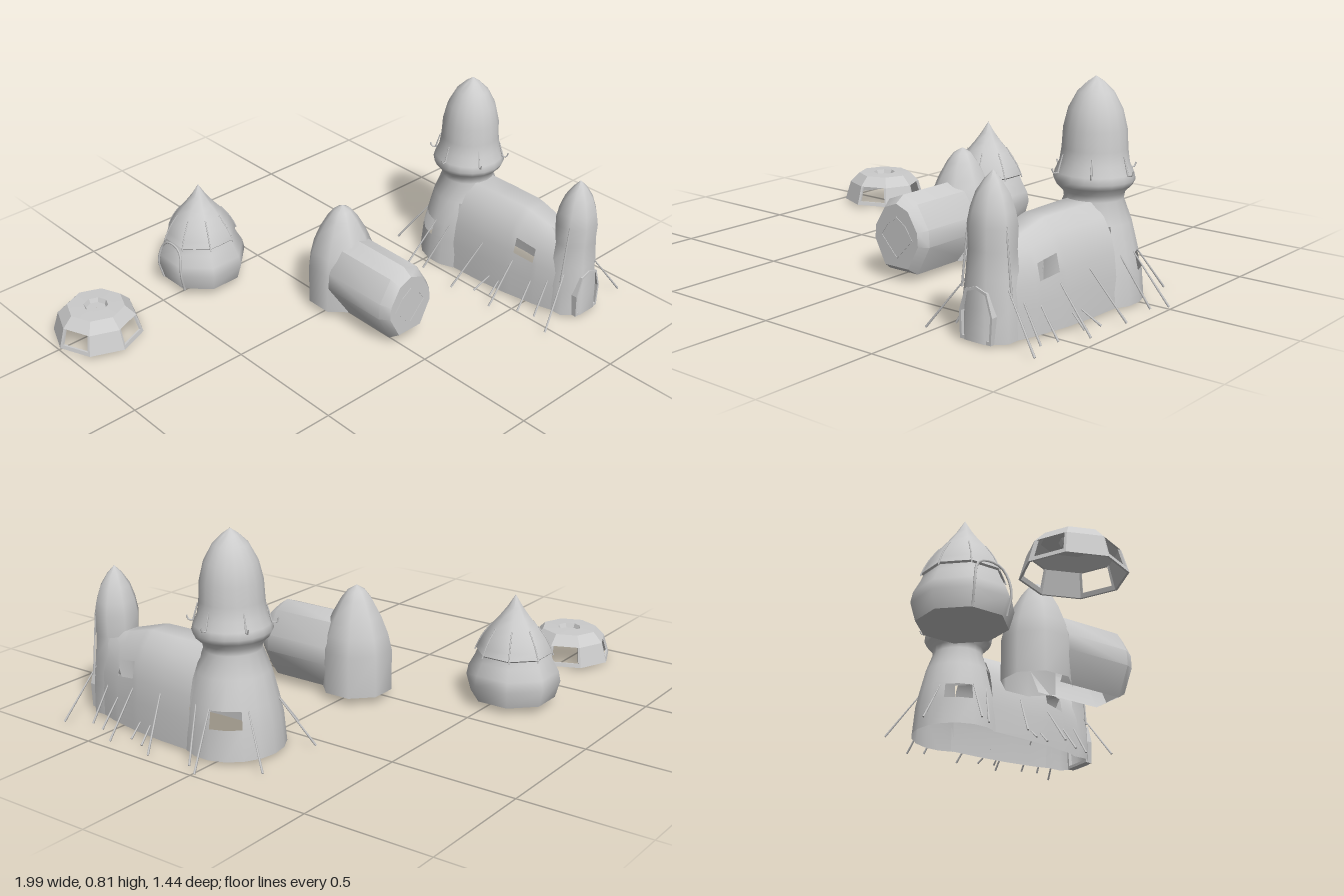
import * as THREE from 'three';
import { toCreasedNormals } from 'three/addons/utils/BufferGeometryUtils.js';

const mat = new THREE.MeshStandardMaterial({ color: 0xcccccc, side: THREE.DoubleSide });
const V = (x, y, z) => new THREE.Vector3(x, y, z);

function add(parent, name, geo, x = 0, y = 0, z = 0) {
  const m = new THREE.Mesh(geo, mat);
  m.name = name;
  m.position.set(x, y, z);
  parent.add(m);
  return m;
}

// Skin over matching rows of points; skip(row, column) leaves a cell open
function loft(rows, { skip = () => false, caps = false, crease = 0.9 } = {}) {
  const n = rows[0].length, idx = [];
  const pos = rows.flat().flatMap(p => [p.x, p.y, p.z]);
  for (let i = 0; i < rows.length - 1; i++)
    for (let j = 0; j < n; j++) {
      if (skip(i, j)) continue;
      const a = i * n + j, b = i * n + (j + 1) % n;
      idx.push(a, a + n, b, b, a + n, b + n);
    }
  if (caps) for (let j = 1; j < n - 1; j++) {
    const e = (rows.length - 1) * n;
    idx.push(0, j, j + 1, e, e + j + 1, e + j);
  }
  const g = new THREE.BufferGeometry();
  g.setAttribute('position', new THREE.Float32BufferAttribute(pos, 3));
  g.setIndex(idx);
  return toCreasedNormals(g, crease);
}

// Turned form from [radius, height] pairs, with a corner half a side off the x axis
function turned(profile, sides, options) {
  return loft(profile.map(([r, y]) => Array.from({ length: sides }, (_, j) => {
    const a = (j + 0.5) * Math.PI * 2 / sides;
    return V(Math.cos(a) * r, y, Math.sin(a) * r);
  })), options);
}

// Thin tapered pole between two points
function pole(parent, name, a, b, r = 0.0045) {
  const d = b.clone().sub(a);
  const m = add(parent, name, new THREE.CylinderGeometry(r * 0.6, r, d.length(), 5));
  m.position.copy(a).addScaledVector(d, 0.5);
  m.quaternion.setFromUnitVectors(V(0, 1, 0), d.normalize());
}

const rod = (points, r) => new THREE.TubeGeometry(new THREE.CatmullRomCurve3(points), points.length * 3, r, 5);

// Flat border following an outline in the xy plane
function border(points, inner, depth) {
  const c = points.reduce((s, p) => [s[0] + p[0] / points.length, s[1] + p[1] / points.length], [0, 0]);
  const shape = new THREE.Shape(points.map(p => new THREE.Vector2(p[0], p[1])));
  shape.holes.push(new THREE.Path(points.map(p =>
    new THREE.Vector2(c[0] + (p[0] - c[0]) * inner, c[1] + (p[1] - c[1]) * inner))));
  return new THREE.ExtrudeGeometry(shape, { depth, bevelEnabled: false });
}

function longHouse() {
  const g = new THREE.Group();
  g.name = 'longHouse';
  // Hollow hall that narrows towards the front, with a window cell in each flank
  const half = [[0.16, 0.015], [0.157, 0.13], [0.147, 0.215], [0.13, 0.28], [0.1, 0.335], [0.05, 0.383]];
  const section = half.concat(half.slice().reverse().map(([w, y]) => [-w, y]));
  const stations = [[0.62, 0.62, 0.86], [0.54, 0.76, 0.9], [0.52, 0.78, 0.915], [0.43, 0.88, 0.985],
    [0.40, 0.91, 1], [0.27, 0.98, 1], [0.13, 1, 1]];
  add(g, 'hallBody', loft(
    stations.map(([z, s, h]) => section.map(([w, y]) => V(w * s, 0.015 + (y - 0.015) * h, z))),
    { skip: (i, j) => j === 11 || (i === 2 && (j === 2 || j === 8)) }));
  // Tall rear tower, open to the hall, with a window on each side
  add(g, 'rearTower', turned([[0.188, 0.015], [0.178, 0.13], [0.164, 0.195], [0.138, 0.3], [0.108, 0.38],
    [0.112, 0.405], [0.138, 0.43], [0.148, 0.45], [0.142, 0.475], [0.126, 0.51], [0.119, 0.56], [0.115, 0.63],
    [0.098, 0.7], [0.066, 0.76], [0.03, 0.795], [0.001, 0.815]], 18,
    { skip: (i, j) => (i < 3 && j >= 1 && j <= 6) || (i === 1 && [9, 10, 15, 16].includes(j)) }), 0, 0, 0.05).scale.z = 0.98;
  // Front spire over the entrance, open to the hall behind
  add(g, 'frontSpire', turned([[0.108, 0.015], [0.105, 0.13], [0.094, 0.23], [0.087, 0.32], [0.09, 0.4],
    [0.08, 0.45], [0.06, 0.505], [0.03, 0.55], [0.001, 0.58]], 8,
    { skip: (i, j) => i < 3 && j >= 4 && j <= 6 }), 0, 0, 0.63).scale.z = 0.92;
  const arch = [[-0.065, 0.015], [0.065, 0.015], [0.07, 0.11], [0.045, 0.19], [0, 0.205], [-0.045, 0.19], [-0.07, 0.11]];
  add(g, 'doorFrame', border(arch, 0.88, 0.03), 0, 0, 0.688);
  // Leaning stakes: foot [x, z], head [x, y, z]
  const stakes = [
    [0.29, -0.01, 0.16, 0.2, 0.03], [0.15, -0.2, 0.08, 0.2, -0.08], [0.27, 0.23, 0.14, 0.2, 0.28],
    [0.22, 0.31, 0.15, 0.06, 0.33], [0.2, 0.38, 0.15, 0.06, 0.38], [0.26, 0.43, 0.12, 0.19, 0.43],
    [0.2, 0.53, 0.11, 0.13, 0.52], [0.18, 0.6, 0.09, 0.16, 0.59], [0.23, 0.7, 0.09, 0.2, 0.66],
    [0.25, 0.05, 0.15, 0.2, 0.1]];
  for (const s of [-1, 1]) {
    for (const [fx, fz, hx, hy, hz] of stakes)
      pole(g, 'stake', V(s * fx, 0.01, fz), V(s * hx, hy, hz));
    pole(g, 'spireStake', V(s * 0.105, 0.17, 0.66), V(s * 0.08, 0.41, 0.66));
  }
  // Small curved thorns round the tower bulge
  for (let i = 0; i < 6; i++) {
    const a = i * Math.PI / 3, at = (r, y) => V(Math.cos(a) * r, y, 0.05 + Math.sin(a) * r);
    add(g, 'thorn', rod([at(0.138, 0.475), at(0.158, 0.477), at(0.165, 0.492)], 0.003));
    pole(g, 'towerSpike', at(0.142, 0.475), at(0.124, 0.54), 0.004);
  }
  g.position.x = 0.7;
  return g;
}

function tunnelHut() {
  const g = new THREE.Group();
  g.name = 'tunnelHut';
  // Pointed rear chamber, open underneath and towards the tunnel
  add(g, 'chamber', turned([[0.141, 0.035], [0.141, 0.2], [0.126, 0.265], [0.098, 0.335], [0.062, 0.4], [0.035, 0.435],
    [0.001, 0.455]], 8, { skip: (i, j) => i < 2 && j === 1 }), 0, 0, -0.01);
  // Entrance tunnel with tucked-in lower sides, open floor and chamfered mouth
  const ring = (z, k) => [[-0.07, 0.035], [-0.13, 0.15], [-0.125, 0.215], [-0.07, 0.305], [0, 0.332],
    [0.07, 0.305], [0.125, 0.215], [0.13, 0.15], [0.07, 0.035]].map(([x, y]) => V(x * k, 0.18 + (y - 0.18) * k, z));
  const rows = [ring(0.05, 1), ring(0.335, 1), ring(0.375, 0.82)];
  add(g, 'tunnel', loft(rows, { skip: (i, j) => j === 8 && i === 0, crease: 0.6 }));
  const face = new THREE.Shape(rows[2].map(p => new THREE.Vector2(p.x, p.y)));
  add(g, 'tunnelFront', new THREE.ShapeGeometry(face), 0, 0, 0.375);
  add(g, 'doorRim', border([[0, 0.09], [0.08, 0.175], [0.045, 0.225], [0, 0.255], [-0.045, 0.225], [-0.08, 0.175]],
    0.9, 0.005), 0, 0, 0.372);
  g.position.x = 0.04;
  return g;
}

function coneHut() {
  const g = new THREE.Group();
  g.name = 'coneHut';
  add(g, 'wall', turned([[0.001, 0.033], [0.165, 0.033], [0.184, 0.1], [0.176, 0.14], [0.152, 0.185], [0.14, 0.215]], 8));
  add(g, 'roof', turned([[0.138, 0.205], [0.149, 0.215], [0.138, 0.24], [0.122, 0.27], [0.094, 0.31], [0.06, 0.35],
    [0.03, 0.39], [0.001, 0.437]], 8));
  // Slim roof ribs
  for (let i = 0; i < 8; i++) {
    const a = (i + 0.5) * Math.PI / 4, at = (r, y) => V(Math.cos(a) * r, y, Math.sin(a) * r);
    add(g, 'rib', rod([at(0.09, 0.315), at(0.122, 0.27), at(0.138, 0.24), at(0.152, 0.205)], 0.003));
  }
  // Bent pole arch round the doorway
  add(g, 'doorArch', rod([V(-0.155, 0.035, -0.06), V(-0.172, 0.12, -0.065), V(-0.155, 0.205, -0.04),
    V(-0.152, 0.222, 0.01), V(-0.155, 0.205, 0.06), V(-0.172, 0.12, 0.085), V(-0.155, 0.035, 0.08)], 0.005));
  g.position.set(-0.26, 0, -0.545);
  return g;
}

function domeHut() {
  const g = new THREE.Group();
  g.name = 'domeHut';
  const at = (k, r, y) => V(Math.sin(k * Math.PI / 4) * r, y, Math.cos(k * Math.PI / 4) * r);
  const radius = y => y < 0.1 ? 0.178 - (y - 0.02) * 0.3 : 0.154 - (y - 0.1) * 1;
  // One facet slab between two corner fractions and two heights
  const slab = (name, k, f0, f1, y0, y1) => {
    const p = (f, y, t) => at(k, radius(y) - t, y).lerp(at(k + 1, radius(y) - t, y), f);
    const row = t => [p(f0, y0, t), p(f1, y0, t), p(f1, y1, t), p(f0, y1, t)];
    add(g, name, loft([row(0), row(0.008)], { caps: true, crease: 0.2 }));
  };
  const open = [0, 2, 4, 6];
  for (let k = 0; k < 8; k++) {
    slab('upperPanel', k, 0, 1, 0.1, 0.14);
    if (open.includes(k)) {
      slab('post', k, 0, 0.07, 0.02, 0.1);
      slab('post', k, 0.93, 1, 0.02, 0.1);
      slab('sill', k, 0, 1, 0.02, 0.035);
    } else slab('lowerPanel', k, 0, 1, 0.02, 0.1);
  }
  // Top deck with a sunken smoke hole
  const deck = [[0.114, 0.14], [0.048, 0.142], [0.04, 0.125], [0.001, 0.125]];
  add(g, 'roofDeck', turned(deck, 8, { crease: 0.2 })).rotation.y = Math.PI / 8;
  g.position.set(-0.822, 0, -0.49);
  return g;
}

export function createModel() {
  const village = new THREE.Group();
  village.name = 'village';
  village.add(longHouse(), tunnelHut(), coneHut(), domeHut());
  return village;
}
